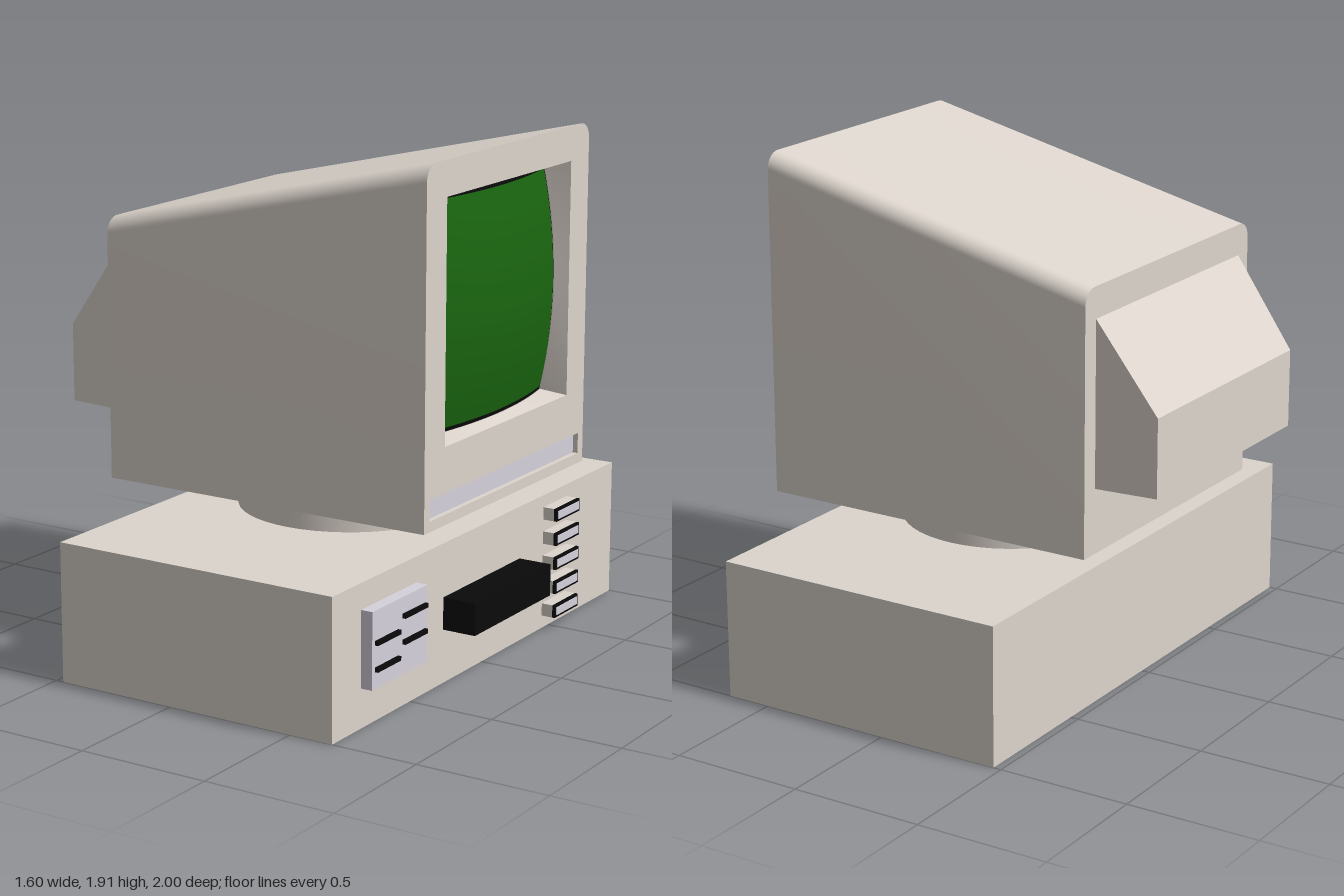
import * as THREE from 'three';
import { toCreasedNormals } from 'three/addons/utils/BufferGeometryUtils.js';

const paint = (color) => new THREE.MeshStandardMaterial({ color, side: THREE.DoubleSide });
const beige = paint(0xddd5cd);
const lavender = paint(0xd5d2dc);
const black = paint(0x0a0a0a);
const green = paint(0x1a6610);

// Outlines are drawn as seen from the screen side: (s, y) with s = -z, counterclockwise
const rect = (s0, s1, y0, y1) => [[s0, y0], [s1, y0], [s1, y1], [s0, y1]];

function caseOutline(top) {
  const pts = [[-0.57, 0.64], [0.57, 0.64]], r = 0.06;
  for (const [c, start] of [[0.57 - r, 0], [-0.57 + r, Math.PI / 2]])
    for (let i = 0; i <= 8; i++) {
      const a = start + (i / 8) * Math.PI / 2;
      pts.push([c + r * Math.cos(a), top - r + r * Math.sin(a)]);
    }
  return pts;
}

function subdivide(pts, n) {
  return pts.flatMap(([s, y], i) => {
    const [s2, y2] = pts[(i + 1) % pts.length];
    return Array.from({ length: n }, (_, k) => [s + (s2 - s) * k / n, y + (y2 - y) * k / n]);
  });
}

// Place an outline at depth x, a number or a rule of (s, y)
const ring = (pts, x) => pts.map(([s, y]) => [typeof x === 'function' ? x(s, y) : x, y, -s]);

// Wall between two closed rings, facing outward when a lies in front of b
function loft(a, b) {
  const n = a.length, index = [];
  for (let i = 0; i < n; i++) {
    const j = (i + 1) % n;
    index.push(i, n + i, j, j, n + i, n + j);
  }
  const geo = new THREE.BufferGeometry();
  geo.setAttribute('position', new THREE.Float32BufferAttribute([...a, ...b].flat(), 3));
  geo.setIndex(index);
  return toCreasedNormals(geo, 0.6);
}

// Flat face at depth x looking along dir (+1 or -1 on x), with optional holes
function face(pts, x, dir = 1, holes = []) {
  const path = (p) => p.map(([s, y]) => new THREE.Vector2(s, y));
  const shape = new THREE.Shape(path(pts));
  shape.holes = holes.map((h) => new THREE.Path(path(h)));
  return new THREE.ShapeGeometry(shape).rotateY(dir * Math.PI / 2).translate(x, 0, 0);
}

export function createModel() {
  const model = new THREE.Group();
  const add = (parent, name, geo, mat) => {
    const mesh = new THREE.Mesh(geo, mat);
    mesh.name = name;
    parent.add(mesh);
    return mesh;
  };
  const group = (name) => {
    const g = new THREE.Group();
    g.name = name;
    model.add(g);
    return g;
  };
  const box = (parent, name, mat, x0, x1, y0, y1, z0, z1) =>
    add(parent, name, new THREE.BoxGeometry(x1 - x0, y1 - y0, z1 - z0), mat)
      .position.set((x0 + x1) / 2, (y0 + y1) / 2, (z0 + z1) / 2);

  // Computer case: open underneath, round hole in the top under the pedestal
  const base = group('computerCase');
  const X0 = -0.47, X1 = 0.67, H = 0.52, pedX = 0.1, pedR = 0.41;
  for (const side of [1, -1]) {
    add(base, 'caseSide', new THREE.PlaneGeometry(X1 - X0, H)
      .rotateY(side > 0 ? 0 : Math.PI).translate((X0 + X1) / 2, H / 2, side), beige);
    add(base, side > 0 ? 'caseFront' : 'caseBack',
      face(rect(-1, 1, 0, H), side > 0 ? X1 : X0, side), beige);
  }
  const lid = new THREE.Shape(rect(X0, X1, -1, 1).map(([x, z]) => new THREE.Vector2(x, z)));
  lid.holes.push(new THREE.Path().absarc(pedX, 0, pedR, 0, Math.PI * 2, true));
  add(base, 'caseTop', new THREE.ShapeGeometry(lid, 24).rotateX(-Math.PI / 2).translate(0, H, 0), beige);

  // Pedestal tube
  add(model, 'pedestal', new THREE.CylinderGeometry(pedR, pedR, 0.12, 48, 1, true)
    .translate(pedX, 0.58, 0), beige);

  // Controls on the case front
  const controls = group('controls');
  box(controls, 'switchPlate', lavender, X1, 0.715, 0.145, 0.425, 0.46, 0.82);
  for (const [y, z] of [[0.31, 0.728], [0.215, 0.728], [0.357, 0.55], [0.263, 0.55]])
    box(controls, 'switchBar', black, 0.71, 0.728, y - 0.008, y + 0.008, z - 0.075, z + 0.075);
  box(controls, 'centreBlock', black, X1, 0.8, 0.2, 0.32, -0.275, 0.275);
  for (let i = 0; i < 5; i++) {
    const y = 0.073 + i * 0.094;
    box(controls, 'buttonBody', beige, X1, 0.715, y - 0.024, y + 0.024, -0.632, -0.453);
    box(controls, 'buttonRim', black, 0.715, 0.726, y - 0.024, y + 0.024, -0.632, -0.453);
    box(controls, 'buttonFace', lavender, 0.72, 0.729, y - 0.015, y + 0.015, -0.623, -0.462);
  }

  // Monitor shell with a sloping, round-edged top
  const monitor = group('monitor');
  const F = 0.765, B = -0.565;
  const frontEdge = caseOutline(1.915), backEdge = caseOutline(1.605);
  const opening = rect(-0.437, 0.437, 0.92, 1.788);
  const slot = rect(-0.533, 0.533, 0.678, 0.755);
  add(monitor, 'shell', loft(ring(frontEdge, F), ring(backEdge, B)), beige);
  add(monitor, 'bezel', face(frontEdge, F, 1, [opening, slot]), beige);
  add(monitor, 'backPanel', face(backEdge, B, -1), beige);

  // Bulging glass, deepest at its corners, inside a sloped recess
  const midY = 1.354;
  const bulge = (s, y) => F - 0.002 - 0.05 * ((s / 0.42) ** 2 + ((y - midY) / 0.42) ** 2);
  const glass = (half, lift) => {
    const geo = new THREE.PlaneGeometry(half * 2, half * 2, 20, 20)
      .rotateY(Math.PI / 2).translate(0, midY, 0);
    const p = geo.attributes.position;
    for (let i = 0; i < p.count; i++) p.setX(i, bulge(p.getZ(i), p.getY(i)) + lift);
    geo.computeVertexNormals();
    return geo;
  };
  const glassEdge = subdivide(rect(-0.42, 0.42, midY - 0.42, midY + 0.42), 20);
  add(monitor, 'screenRecess', loft(ring(glassEdge, bulge), ring(subdivide(opening, 20), F)), beige);
  add(monitor, 'screenBorder', glass(0.42, -0.003), black);
  add(monitor, 'screen', glass(0.404, 0.001), green);

  // Shallow inset strip below the screen
  add(monitor, 'stripRecess', loft(ring(slot, F - 0.02), ring(slot, F)), beige);
  add(monitor, 'strip', face(slot, F - 0.02), lavender);

  // Tapered housing behind the monitor
  const near = rect(-0.5, 0.5, 0.88, 1.49), far = rect(-0.48, 0.48, 0.88, 1.17);
  add(monitor, 'tubeHousing', loft(ring(near, B), ring(far, -0.8)), beige);
  add(monitor, 'tubeHousingBack', face(far, -0.8, -1), beige);

  return model;
}
